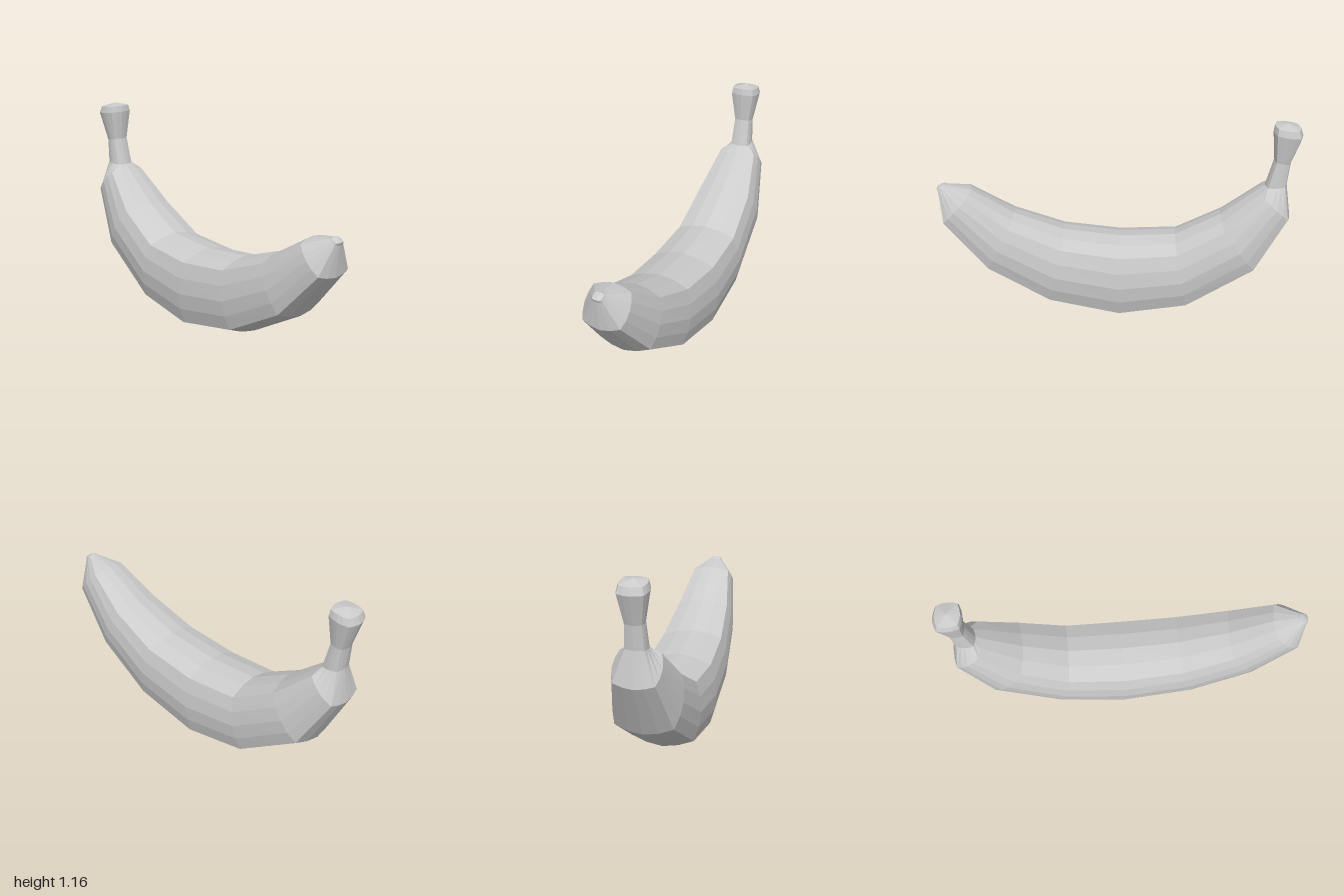
import * as THREE from 'three';

// Cross-section: a square with gently bulged sides, starting at the inner (upper) ridge.
// Each entry is [position from outer (0) to inner (1) edge, share of the half width].
const quarter = [[1, 0], [0.965, 0.43], [0.89, 0.84], [0.7, 0.955], [0.5, 1]];
const half = [...quarter, ...quarter.slice(0, 4).reverse().map(([t, w]) => [1 - t, w])];
const section = [...half, ...half.slice(1, 8).reverse().map(([t, w]) => [t, -w])];

// Stations along the fruit: [outer x, outer y, inner x, inner y, half width]
const stemRings = [
  [-0.985, 1.13, -0.847, 1.145, 0.07],
  [-1.0, 1.09, -0.84, 1.11, 0.08],
  [-0.945, 0.93, -0.855, 0.943, 0.052],
  [-0.932, 0.8, -0.815, 0.79, 0.06],
];
const bodyRings = [
  stemRings[3],
  [-0.96, 0.61, -0.79, 0.77, 0.127],
  [-0.79, 0.3, -0.575, 0.6, 0.185],
  [-0.405, 0.06, -0.33, 0.47, 0.205],
  [-0.02, 0, -0.02, 0.455, 0.216],
  [0.38, 0.08, 0.295, 0.49, 0.205],
  [0.735, 0.275, 0.575, 0.59, 0.175],
  [0.975, 0.55, 0.81, 0.73, 0.125],
  [0.994, 0.722, 0.94, 0.755, 0.036],
];
const tipRings = [
  bodyRings[8],
  [1.0, 0.737, 0.957, 0.762, 0.027],
];

// Skins a run of stations, closing an end with a fan where an apex is given
function loft(name, rings, startApex, endApex) {
  const n = section.length;
  const pos = [];
  const index = [];
  for (const [ox, oy, ix, iy, w] of rings) {
    for (const [t, s] of section) pos.push(ox + (ix - ox) * t, oy + (iy - oy) * t, s * w);
  }
  for (let i = 0; i < rings.length - 1; i++) {
    for (let j = 0; j < n; j++) {
      const k = (j + 1) % n;
      const a = i * n + j, b = i * n + k, c = b + n, d = a + n;
      index.push(a, b, c, a, c, d);
    }
  }
  const fan = (apex, base, flip) => {
    const centre = pos.length / 3;
    pos.push(...apex, 0);
    for (let j = 0; j < n; j++) {
      const a = base + j, b = base + (j + 1) % n;
      index.push(centre, flip ? b : a, flip ? a : b);
    }
  };
  if (startApex) fan(startApex, 0, true);
  if (endApex) fan(endApex, (rings.length - 1) * n, false);

  const indexed = new THREE.BufferGeometry();
  indexed.setAttribute('position', new THREE.Float32BufferAttribute(pos, 3));
  indexed.setIndex(index);
  const geometry = indexed.toNonIndexed();
  geometry.computeVertexNormals();
  const mesh = new THREE.Mesh(
    geometry,
    new THREE.MeshStandardMaterial({ color: 0xcccccc, flatShading: true }),
  );
  mesh.name = name;
  return mesh;
}

export function createModel() {
  const banana = new THREE.Group();
  banana.name = 'banana';
  banana.add(
    loft('stem', stemRings, [-0.918, 1.156], null),
    loft('body', bodyRings, null, null),
    loft('tip', tipRings, null, [0.985, 0.754]),
  );
  return banana;
}
